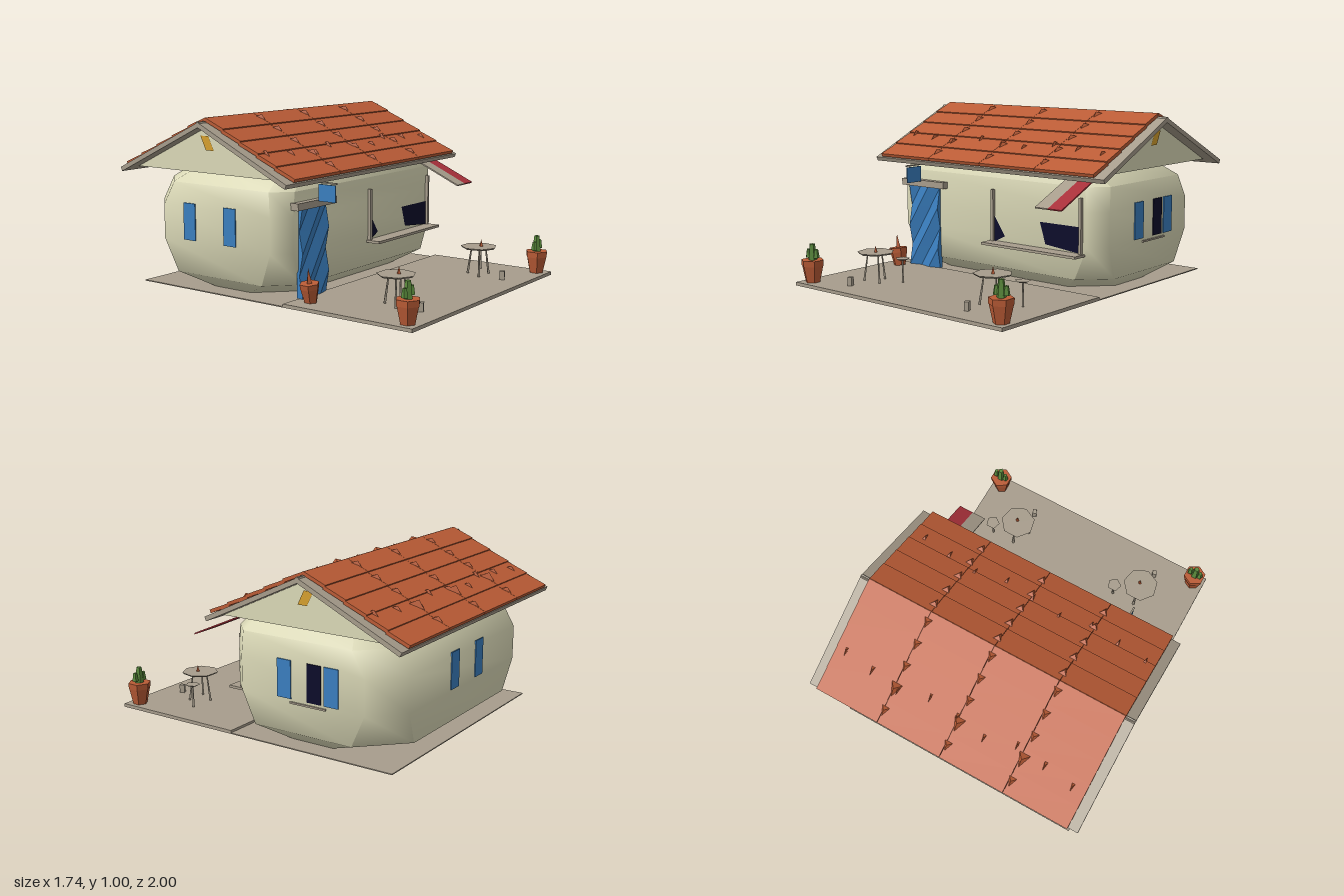
import * as THREE from 'three';
import { toCreasedNormals } from 'three/addons/utils/BufferGeometryUtils.js';

const mat = (name, color, side = THREE.FrontSide) => {
  const m = new THREE.MeshStandardMaterial({ color, side });
  m.name = name;
  return m;
};

export function createModel() {
  const house = new THREE.Group();
  house.name = 'house';
  const cream = mat('cream plaster', 0xdcdab8);
  const stone = mat('grey beige stone', 0xa79d8c, THREE.DoubleSide);
  const clay = mat('terracotta', 0xbb5c36);
  const blue = mat('blue paint', 0x3a7fc0);
  const dark = mat('dark glass', 0x0b0b2a, THREE.DoubleSide);
  const red = mat('red cloth', 0xa8303a);
  const green = mat('cactus green', 0x5a8a3c);
  const yellow = mat('yellow vent', 0xd6a02e, THREE.DoubleSide);

  const add = (name, geo, m, x = 0, y = 0, z = 0, parent = house) => {
    const mesh = new THREE.Mesh(geo, m);
    mesh.name = name;
    mesh.position.set(x, y, z);
    parent.add(mesh);
    return mesh;
  };
  // box given by its min and max on each axis
  const box = (name, m, x0, x1, y0, y1, z0, z1, parent = house) =>
    add(name, new THREE.BoxGeometry(x1 - x0, y1 - y0, z1 - z0), m,
      (x0 + x1) / 2, (y0 + y1) / 2, (z0 + z1) / 2, parent);
  const faceted = (geo) => {
    const g = geo.toNonIndexed();
    g.computeVertexNormals();
    return g;
  };
  const polygon = (pts) => new THREE.ShapeGeometry(
    new THREE.Shape(pts.map(([x, y]) => new THREE.Vector2(x, y))));

  // ground
  box('terrace', stone, -0.79, 0.785, 0, 0.02, 0.17, 1);
  box('houseFloor', stone, -0.79, 0.785, 0, 0.006, -0.89, 0.17);

  // soft-cornered walls: [y, half width, front z, back z, front chamfer, back chamfer]
  const rings = [
    [0.006, 0.66, 0.03, -0.66, 0.2, 0.22],
    [0.09, 0.77, 0.165, -0.87, 0.16, 0.24],
    [0.28, 0.785, 0.17, -0.89, 0.09, 0.17],
    [0.48, 0.785, 0.17, -0.89, 0.09, 0.17],
    [0.62, 0.78, 0.17, -0.81, 0.1, 0.17],
    [0.72, 0.62, 0.13, -0.71, 0.1, 0.15],
  ];
  const pos = [], idx = [];
  for (const [y, w, f, b, c, d] of rings) {
    for (const [x, z] of [[w, b + d], [w, f - c], [w - c, f], [c - w, f],
      [-w, f - c], [-w, b + d], [d - w, b], [w - d, b]]) pos.push(x, y, z);
  }
  for (let i = 0; i < rings.length - 1; i++) {
    for (let j = 0; j < 8; j++) {
      const a = i * 8 + j, b = i * 8 + (j + 1) % 8;
      idx.push(a, a + 8, b + 8, a, b + 8, b);
    }
  }
  const wallGeo = new THREE.BufferGeometry();
  wallGeo.setAttribute('position', new THREE.Float32BufferAttribute(pos, 3));
  wallGeo.setIndex(idx);
  add('walls', toCreasedNormals(wallGeo, 1), cream);

  // gable prism under the roof
  const gable = new THREE.Shape([[-0.2, 0.69], [0.93, 0.69], [0.36, 0.955]]
    .map(([x, y]) => new THREE.Vector2(x, y)));
  add('gables', new THREE.ExtrudeGeometry(gable, { depth: 1.58, bevelEnabled: false })
    .rotateY(Math.PI / 2), cream, -0.79);
  for (const s of [-1, 1]) {
    add('gableVent', polygon([[0.31, 0.82], [0.37, 0.82], [0.41, 0.9], [0.35, 0.9]])
      .rotateY(Math.PI / 2), yellow, s * 0.796);
  }

  // roof halves: slab, overlapping tile courses and raised broken tiles
  const chipGeo = faceted(new THREE.ConeGeometry(1, 1, 3));
  for (const back of [false, true]) {
    const turn = new THREE.Group();
    turn.name = back ? 'backRoof' : 'frontRoof';
    turn.position.set(0, 1.0, -0.36);
    turn.rotation.y = back ? Math.PI : 0;
    const slope = new THREE.Group();
    slope.name = 'roofSlope';
    slope.rotation.x = 0.44;
    turn.add(slope);
    house.add(turn);
    box('roofSlab', stone, -0.87, 0.87, -0.043, -0.017, 0, 0.7, slope);
    for (let r = 0; r < 5; r++) {
      for (let c = 0; c < 4; c++) {
        const x = -0.812 + c * 0.406;
        const tile = box('roofTile', clay, x, x + 0.404, -0.012, 0.008,
          r * 0.139, r * 0.139 + 0.145, slope);
        tile.rotation.x = -0.05;
      }
      for (const x of [-0.4, 0.01, 0.42]) {
        const chip = add('raisedTile', chipGeo, clay, x, 0.012, r * 0.139 + 0.06, slope);
        const big = back && r === 3;
        chip.scale.set(big ? 0.065 : 0.04, big ? 0.06 : 0.03, big ? 0.1 : 0.06);
      }
    }
    for (let k = 0; k < 9; k++) {
      const chip = add('tileSplinter', chipGeo, clay, -0.75 + k * 0.185, 0.01,
        0.42 + 0.03 * (k % 3), slope);
      chip.scale.set(0.018, 0.03, 0.06);
    }
  }

  // door with lintel
  const doorGeo = new THREE.BoxGeometry(0.24, 0.5, 0.03, 3, 4, 1);
  const dp = doorGeo.attributes.position;
  for (let i = 0; i < dp.count; i++) {
    if (dp.getZ(i) > 0) dp.setZ(i, 0.015 + 0.012 * Math.sin(dp.getX(i) * 40 + dp.getY(i) * 23));
  }
  add('door', faceted(doorGeo), blue, -0.53, 0.27, 0.172);
  box('doorLintel', stone, -0.7, -0.35, 0.52, 0.56, 0.12, 0.21);

  // hanging sign board above the door
  box('signBoard', blue, -0.534, -0.526, 0.555, 0.65, 0.22, 0.335);
  box('signBar', stone, -0.535, -0.525, 0.656, 0.664, 0.12, 0.345);

  // front window
  box('windowPostLeft', stone, 0.012, 0.03, 0.24, 0.55, 0.16, 0.19);
  box('windowPostRight', stone, 0.652, 0.668, 0.24, 0.56, 0.16, 0.19);
  box('windowSill', stone, 0.0, 0.68, 0.23, 0.245, 0.16, 0.26);
  add('windowPane', polygon([[0.03, 0.24], [0.11, 0.28], [0.03, 0.395]]), dark, 0, 0, 0.175);
  add('windowPane', polygon([[0.41, 0.27], [0.655, 0.245], [0.655, 0.395], [0.37, 0.395]]),
    dark, 0, 0, 0.175);

  // striped awning
  const awning = new THREE.Group();
  awning.name = 'awning';
  awning.position.set(0, 0.66, 0.17);
  awning.rotation.x = 0.42;
  house.add(awning);
  box('awningPaleStripe', stone, 0.56, 0.647, -0.004, 0.004, 0, 0.318, awning);
  box('awningRedStripe', red, 0.647, 0.738, -0.004, 0.004, 0, 0.318, awning);

  // side and back shutters
  for (const z of [-0.515, -0.21]) {
    for (const s of [-1, 1]) {
      box('sideShutter', blue, s * 0.787 - 0.004, s * 0.787 + 0.004, 0.29, 0.505, z - 0.045, z + 0.045);
    }
  }
  box('sideWindow', dark, 0.783, 0.79, 0.29, 0.505, -0.45, -0.36);
  box('sideWindowSill', stone, 0.78, 0.795, 0.265, 0.275, -0.48, -0.25);
  for (const x of [0.13, -0.155]) {
    box('backShutter', blue, x - 0.045, x + 0.045, 0.29, 0.505, -0.895, -0.887);
  }

  // potted plants
  const potGeo = faceted(new THREE.CylinderGeometry(0.066, 0.044, 0.1, 6));
  const rimGeo = faceted(new THREE.CylinderGeometry(0.07, 0.068, 0.035, 6));
  const pot = (x, z, k) => {
    const g = new THREE.Group();
    g.name = 'pottedPlant';
    g.position.set(x, 0.02, z);
    g.scale.setScalar(k);
    house.add(g);
    add('pot', potGeo, clay, 0, 0.05, 0, g);
    add('potRim', rimGeo, clay, 0, 0.117, 0, g);
    return g;
  };
  const lobe = faceted(new THREE.CylinderGeometry(0.6, 1, 2, 5));
  for (const s of [-1, 1]) {
    const g = pot(s * 0.72, 0.93, 0.98);
    for (const [x, y, r, h] of [[0, 0.175, 0.028, 0.055], [0.035, 0.175, 0.02, 0.025],
      [-0.032, 0.17, 0.02, 0.025]]) {
      add('cactusLobe', lobe, green, x, y, 0, g).scale.set(r, h, r);
    }
  }
  const doorPot = pot(-0.67, 0.27, 0.82);
  doorPot.rotation.z = 0.12;
  add('dryStem', faceted(new THREE.ConeGeometry(0.025, 0.12, 4)), clay, 0, 0.18, 0, doorPot);

  // terrace tables with thin splayed legs and a chair seat
  const topGeo = faceted(new THREE.CylinderGeometry(0.11, 0.1, 0.01, 7));
  const legGeo = new THREE.CylinderGeometry(0.005, 0.008, 0.17, 4);
  const seatGeo = faceted(new THREE.CylinderGeometry(0.045, 0.03, 0.008, 5));
  for (const s of [-1, 1]) {
    const g = new THREE.Group();
    g.name = 'terraceTable';
    g.position.set(s * 0.45, 0.02, 0.68);
    house.add(g);
    add('tableTop', topGeo, stone, 0, 0.17, 0, g);
    add('tableCandle', faceted(new THREE.ConeGeometry(0.012, 0.04, 4)), clay, 0.01, 0.195, 0.01, g);
    for (let i = 0; i < 3; i++) {
      const a = i * 2.09 + 0.5;
      const leg = add('tableLeg', legGeo, stone, 0.06 * Math.cos(a), 0.085, 0.06 * Math.sin(a), g);
      leg.rotation.set(-0.15 * Math.sin(a), 0, 0.15 * Math.cos(a));
    }
    add('chairSeat', seatGeo, stone, 0.15, 0.14, -0.07, g);
    add('chairLeg', legGeo, stone, 0.15, 0.07, -0.07, g).scale.y = 0.8;
    box('chairRemnant', stone, -0.04, -0.015, 0, 0.05, 0.16, 0.19, g).rotation.y = 0.4;
  }
  return house;
}
